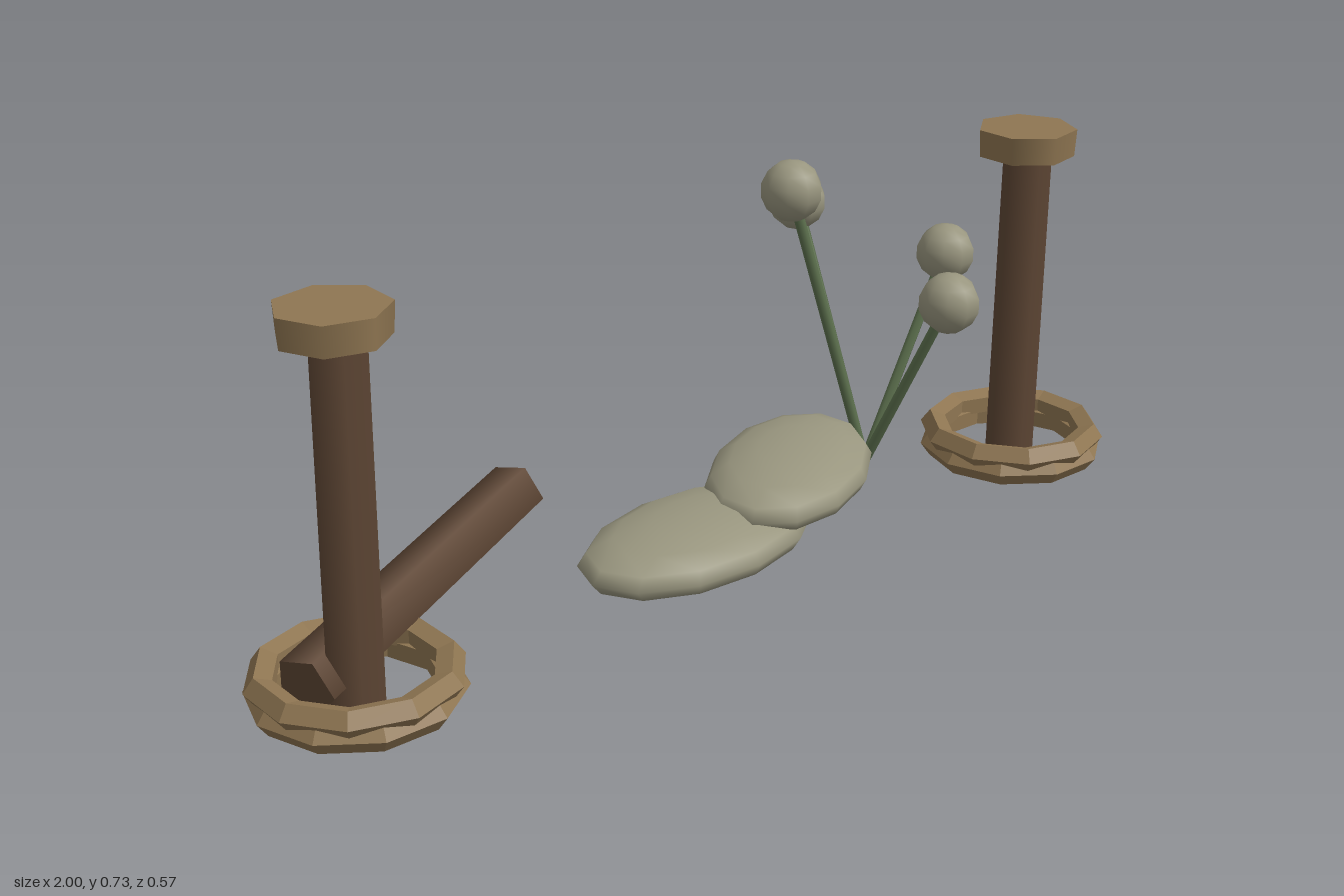
import * as THREE from 'three';

const material = (name, color) => Object.assign(new THREE.MeshStandardMaterial({ color }), { name });
const bark = material('bark', 0x5f4735);
const rope = material('rope', 0x8f7652);
const stemGreen = material('stem green', 0x5f7350);
const sage = material('sage', 0x99967f);

const UP = new THREE.Vector3(0, 1, 0);

// Cylinder with flat facets running between two points
function rod(name, from, to, r0, r1, sides, mat, spin = 0) {
  const a = new THREE.Vector3(...from), b = new THREE.Vector3(...to);
  const dir = b.clone().sub(a);
  const geo = new THREE.CylinderGeometry(r1, r0, dir.length(), sides).rotateY(spin);
  const mesh = new THREE.Mesh(geo, mat);
  mesh.position.copy(a).add(b).multiplyScalar(0.5);
  mesh.quaternion.setFromUnitVectors(UP, dir.normalize());
  mesh.name = name;
  return mesh;
}

// Faceted torus lying flat
function ropeRing(x, y, z, spin) {
  let geo = new THREE.TorusGeometry(0.163, 0.028, 5, 10);
  geo = geo.rotateX(Math.PI / 2).rotateY(spin).toNonIndexed();
  geo.computeVertexNormals();
  const mesh = new THREE.Mesh(geo, rope);
  mesh.position.set(x, y, z);
  mesh.name = 'ropeRing';
  return mesh;
}

// Upright post with a cap and two stacked rings round its foot
function post(name, x, z, spin) {
  const group = new THREE.Group();
  group.name = name;
  group.add(
    rod('shaft', [x - 0.003, 0.01, z], [x + 0.003, 0.672, z], 0.052, 0.051, 5, bark, -Math.PI / 2),
    rod('cap', [x, 0.676, z - 0.002], [x, 0.731, z - 0.002], 0.097, 0.1, 7, rope, spin),
    ropeRing(x + 0.002, 0.047, z, 0),
    ropeRing(x + 0.002, 0.075, z, 0.31),
  );
  return group;
}

// Flattened ellipsoid
function pad(name, center, radii, yaw) {
  const mesh = new THREE.Mesh(new THREE.SphereGeometry(1, 12, 8), sage);
  mesh.position.set(...center);
  mesh.scale.set(...radii);
  mesh.rotation.y = yaw;
  mesh.name = name;
  return mesh;
}

export function createModel() {
  const model = new THREE.Group();
  model.name = 'postsAndPlant';

  model.add(post('leftPost', 0.807, 0.097, Math.PI / 2));
  model.add(post('rightPost', -0.812, 0.095, 0.2));

  // Fallen log leaning on the right-hand rings
  model.add(rod('fallenLog', [-0.9, 0.074, 0.08], [-0.283, 0.164, -0.168], 0.06, 0.058, 5, bark, 0.5));

  // Overlapping ground pads
  model.add(pad('lowerPad', [-0.055, 0.085, 0.09], [0.272, 0.06, 0.16], 0.1));
  model.add(pad('upperPad', [0.223, 0.13, 0.042], [0.262, 0.06, 0.155], 0.56));

  // Four stems fanning out from one root, each with a round head
  const root = [0.483, 0.056, -0.01];
  const heads = [
    [0.266, 0.68, -0.012],
    [0.7, 0.463, -0.012],
    [0.483, 0.567, -0.228],
    [0.483, 0.462, 0.205],
  ];
  for (const tip of heads) {
    model.add(rod('stem', root, tip, 0.011, 0.011, 5, stemGreen));
    const head = new THREE.Mesh(new THREE.SphereGeometry(0.06, 9, 7), sage);
    head.position.set(...tip);
    head.name = 'seedHead';
    model.add(head);
  }
  return model;
}
